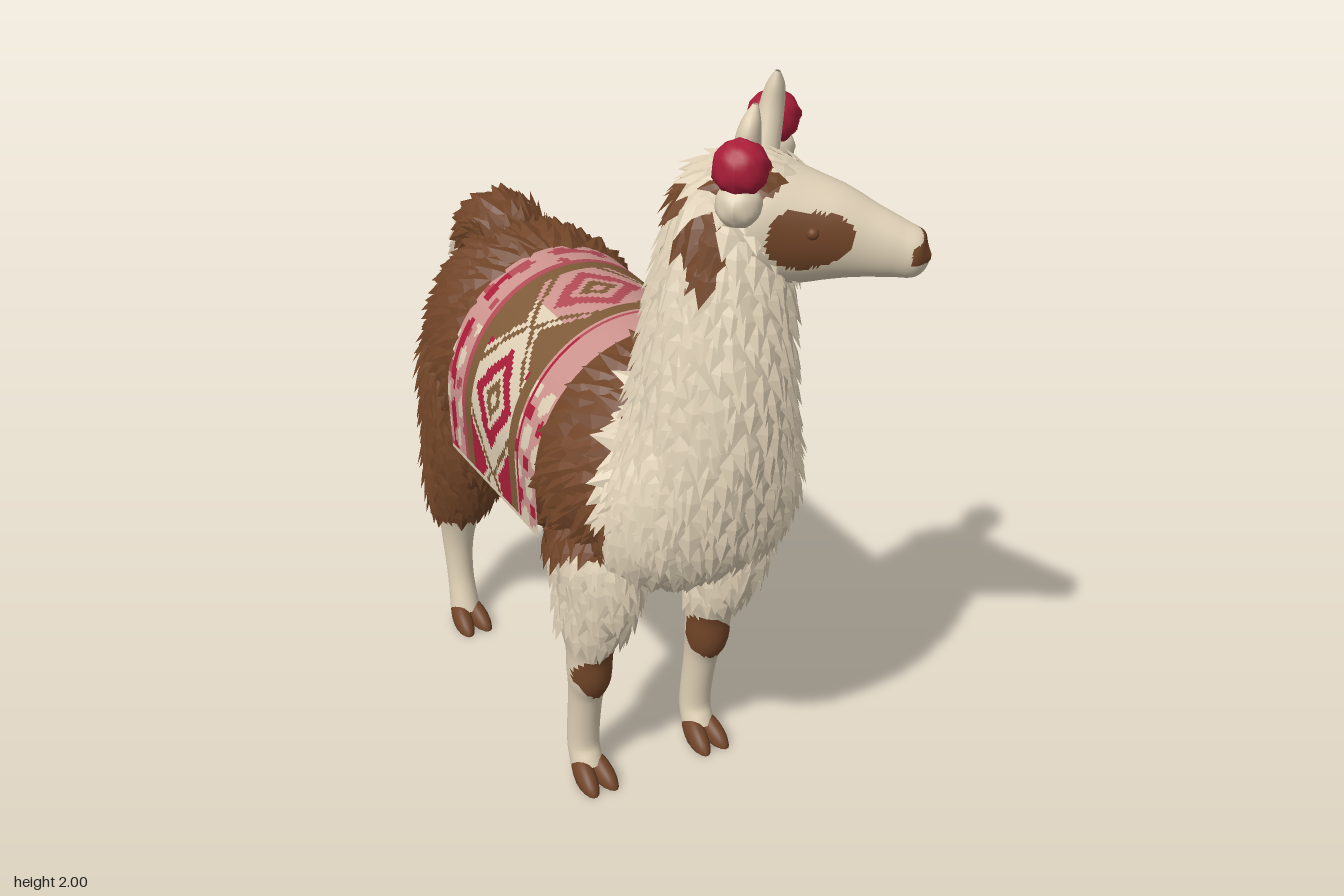
import * as THREE from 'three';

const mat = (name, color) => {
  const m = new THREE.MeshStandardMaterial({ color, side: THREE.DoubleSide });
  m.name = name;
  return m;
};
const CREAM = 0, BROWN = 1, RED = 2, PINK = 3, ROSE = 4, WOOL = 5;
const V = (x, y, z) => new THREE.Vector3(x, y, z);

export function createModel() {
  const mats = [mat('cream', 0xdccdb3), mat('brown', 0x704427), mat('red', 0xa81d38), mat('pink', 0xcb928c),
    mat('rose', 0xb04a54), mat('woolBrown', 0x7d5a38)];
  const model = new THREE.Group();
  model.name = 'llama';
  let seed = 7;
  const rnd = () => (seed = (seed * 16807) % 2147483647) / 2147483647;
  const wobble = (p) => 0.018 * (Math.sin(p.x * 31 + p.y * 43) + Math.sin(p.z * 37 - p.y * 29 + p.x * 17));
  const blob = (p, x, y, z, rx, ry, rz) =>
    ((p.x - x) / rx) ** 2 + ((p.y - y) / ry) ** 2 + ((p.z - z) / rz) ** 2 < 1 + wobble(p) * 9;

  // Coat colour by place: brown saddle and rump, cream neck, belly and front legs
  const coat = (p) => {
    const w = wobble(p) * 0.7, y = p.y + w, z = p.z + w, front = p.x < -0.13 ? 0.48 : 0.405;
    const edge = y > 0.85 ? front - 0.25 * Math.abs(y - 0.92) : front - (0.85 - y) * 1.7;
    if (z < -0.27 && y > 0.37) return BROWN;
    if (y > 0.71 && y < 1.36 && z < edge) return BROWN;
    if (blob(p, p.x < 0 ? -0.18 : 0.145, 0.355, 0.33, 0.08, 0.08, 0.085)) return BROWN;
    if (blob(p, 0.19, 1.69, 0.47, 0.07, 0.085, 0.065) || blob(p, -0.09, 1.67, 0.6, 0.06, 0.075, 0.07) ||
      blob(p, -0.08, 1.73, 0.47, 0.06, 0.06, 0.06) || blob(p, 0.14, 1.74, 0.42, 0.05, 0.06, 0.05)) return BROWN;
    return CREAM;
  };
  const face = (p) => {
    const ax = Math.abs(p.x), q = V(ax, p.y, p.z);
    if (blob(q, 0.115, 0.003, 0.14, 0.095, 0.075, 0.1)) return BROWN;
    if (blob(q, 0.085, 0.125, -0.005, 0.05, 0.05, 0.07) || blob(q, 0.13, 0, -0.06, 0.07, 0.07, 0.04)) return BROWN;
    return p.z > 0.355 && p.y > -0.055 && p.y < -0.005 + wobble(p) ? BROWN : CREAM;
  };

  // Sorts the triangles of an indexed geometry into one group per colour
  function paint(name, pos, idx, colour, parent) {
    const g = new THREE.BufferGeometry(), bins = mats.map(() => []), at = (i) => V(...pos.slice(i * 3, i * 3 + 3));
    for (let i = 0; i < idx.length; i += 3) {
      const mid = at(idx[i]).add(at(idx[i + 1])).add(at(idx[i + 2])).divideScalar(3);
      bins[colour(mid, i)].push(idx[i], idx[i + 1], idx[i + 2]);
    }
    g.setAttribute('position', new THREE.Float32BufferAttribute(pos, 3));
    g.setIndex(bins.flat());
    let start = 0;
    bins.forEach((b, m) => { if (b.length) g.addGroup(start, b.length, m); start += b.length; });
    g.computeVertexNormals();
    const mesh = new THREE.Mesh(g, mats);
    mesh.name = name;
    parent.add(mesh);
  }

  // Smooth skin through rows of [x, y, z, half width, half depth]
  function loft(name, rows, colour, parent, nu = 40, nv = 32) {
    const path = new THREE.CatmullRomCurve3(rows.map((r) => V(r[0], r[1], r[2])), false, 'catmullrom');
    const size = new THREE.CatmullRomCurve3(rows.map((r) => V(r[3], r[4], 0)), false, 'catmullrom');
    const at = (u, a) => {
      const c = path.getPoint(u), s = size.getPoint(u), b = path.getTangent(u).cross(V(1, 0, 0)).normalize();
      c.x += Math.max(s.x, 0.001) * Math.cos(a);
      return c.addScaledVector(b, Math.max(s.y, 0.001) * Math.sin(a));
    };
    const pos = [], idx = [];
    for (let i = 0; i <= nu; i++) for (let j = 0; j < nv; j++) {
      pos.push(...at(i / nu, (j / nv) * Math.PI * 2).toArray());
      const k = (j + 1) % nv, o = i * nv;
      if (i < nu) idx.push(o + j, o + k, o + nv + j, o + k, o + nv + k, o + nv + j);
    }
    paint(name, pos, idx, colour, parent);
    return { at, size, length: path.getLength() };
  }

  // Broad pointed locks of wool laid over a skin, combed along the flow direction
  function fur(name, skin, colour, parent, flow, keep, len = 0.092, step = 0.04) {
    const bins = mats.map(() => []), nu = Math.ceil(skin.length / step);
    for (let i = 0; i < nu; i++) {
      const r = skin.size.getPoint((i + 0.5) / nu), n = Math.ceil((Math.PI * (r.x + r.y)) / step);
      for (let j = 0; j < n; j++) {
        const u = Math.min(0.985, Math.max(0.015, (i + rnd()) / nu)), a = ((j + 0.7 * rnd() + (i % 2) / 2) / n) * Math.PI * 2;
        const p = skin.at(u, a);
        if (!keep(p)) continue;
        const du = skin.at(u + 0.01, a).sub(skin.at(u - 0.01, a));
        const nor = skin.at(u, a + 0.05).sub(skin.at(u, a - 0.05)).cross(du).normalize();
        const d = (flow ? flow.clone() : du.normalize()).add(V(rnd() - 0.5, rnd() - 0.5, rnd() - 0.5).multiplyScalar(0.45));
        d.addScaledVector(nor, -d.dot(nor)).normalize();
        const s = nor.clone().cross(d), L = len * (0.75 + 0.5 * rnd()), w = L * 0.32;
        const pt = (f, k, h) => p.clone().addScaledVector(d, f * L).addScaledVector(s, k * w).addScaledVector(nor, h * L);
        const A = pt(-0.4, 0, -0.02), R = pt(0.05, -1, 0.01), T = pt(0.7, 0, 0.23), Q = pt(0.05, 1, 0.01), M = pt(0.1, 0, 0.14);
        for (const q of [A, R, M, R, T, M, T, Q, M, Q, A, M]) bins[colour(p)].push(q.x, q.y, q.z);
      }
    }
    bins.forEach((b, m) => {
      if (!b.length) return;
      const g = new THREE.BufferGeometry();
      g.setAttribute('position', new THREE.Float32BufferAttribute(b, 3));
      g.computeVertexNormals();
      const mesh = new THREE.Mesh(g, mats[m]);
      mesh.name = name + (m === BROWN ? 'Brown' : 'Cream');
      parent.add(mesh);
    });
  }
  const clear = (p) => !(p.z > -0.31 && p.z < 0.26 && p.y > 0.77); // stays bare under the blanket
  const down = V(0, -1, 0);

  // Body
  const body = loft('body', [[0, 1, -0.69, 0.02, 0.02], [0, 1, -0.655, 0.17, 0.2], [0, 1, -0.56, 0.26, 0.285],
    [0, 0.99, -0.43, 0.305, 0.325], [0, 0.97, -0.25, 0.31, 0.325], [0, 0.95, 0, 0.31, 0.33], [0, 0.955, 0.2, 0.31, 0.325],
    [0, 0.96, 0.35, 0.3, 0.295], [0, 0.93, 0.5, 0.23, 0.21], [0, 0.93, 0.62, 0.01, 0.01]], coat, model, 60, 48);
  fur('bodyFur', body, coat, model, V(0, -0.7, -0.7), clear);

  // Neck and chest
  const neck = loft('neck', [[0, 0.72, 0.4, 0.12, 0.08], [0, 0.8, 0.42, 0.23, 0.14], [0, 0.92, 0.45, 0.265, 0.195],
    [0, 1.06, 0.49, 0.24, 0.2], [0, 1.2, 0.515, 0.195, 0.2], [0, 1.36, 0.53, 0.17, 0.187], [0.01, 1.52, 0.53, 0.155, 0.165],
    [0.03, 1.65, 0.53, 0.145, 0.15], [0.045, 1.76, 0.53, 0.125, 0.125], [0.05, 1.83, 0.54, 0.03, 0.03]], coat, model, 60, 40);
  fur('neckFur', neck, coat, model, down, clear, 0.084, 0.038);

  // Legs: rows of [y, z, half width, half depth], top to ground
  const frontRows = [[0.9, 0.3, 0.08, 0.14], [0.78, 0.3, 0.12, 0.17], [0.65, 0.3, 0.1, 0.15], [0.5, 0.275, 0.08, 0.1],
    [0.42, 0.268, 0.062, 0.072], [0.34, 0.267, 0.058, 0.068], [0.26, 0.25, 0.047, 0.05], [0.1, 0.24, 0.045, 0.043], [0.03, 0.265, 0.045, 0.05]];
  const hindRows = [[1.12, -0.44, 0.08, 0.1], [0.95, -0.46, 0.14, 0.165], [0.75, -0.48, 0.14, 0.165], [0.57, -0.525, 0.12, 0.13],
    [0.43, -0.56, 0.09, 0.092], [0.35, -0.565, 0.06, 0.07], [0.25, -0.56, 0.045, 0.055], [0.14, -0.53, 0.04, 0.043], [0.03, -0.485, 0.045, 0.05]];
  function leg(name, rows, side, hip, foot, shift, furEnd) {
    const g = new THREE.Group();
    g.name = name;
    model.add(g);
    const full = rows.map(([y, z, a, b]) =>
      [side * THREE.MathUtils.lerp(foot, hip, Math.min(1, y / 0.7)), y, z + shift * Math.max(0, 1 - y / 0.7), a, b]);
    const skin = loft(name + 'Skin', full.reverse(), coat, g, 40, 24);
    fur(name + 'Fur', skin, coat, g, down, (p) => clear(p) && p.y > furEnd, 0.085, 0.038);
    // Two-toed foot, flat on the ground
    for (const k of [-1, 1]) {
      const geo = new THREE.SphereGeometry(1, 18, 14).scale(0.029, 0.04, 0.074), p = geo.attributes.position;
      for (let i = 0; i < p.count; i++) p.setY(i, Math.max(0, p.getY(i) + 0.018 - p.getZ(i) * 0.28));
      geo.computeVertexNormals();
      const toe = new THREE.Mesh(geo, mats[BROWN]);
      toe.name = 'toe';
      toe.position.set(side * foot + k * 0.025, 0, full[0][2] + 0.037);
      toe.rotation.y = k * 0.1;
      g.add(toe);
    }
  }
  leg('frontLegRight', frontRows, -1, 0.19, 0.205, 0, 0.49);
  leg('frontLegLeft', frontRows, 1, 0.19, 0.15, 0, 0.49);
  leg('hindLegRight', hindRows, -1, 0.175, 0.2, -0.075, 0.4);
  leg('hindLegLeft', hindRows, 1, 0.18, 0.23, 0, 0.4);

  // Tail, curled over with a pale tip
  const tailColour = (p) => (p.z + wobble(p) * 0.6 < -0.71 && p.y < 1.27 ? CREAM : BROWN);
  const tail = loft('tail', [[0, 1.18, -0.46, 0.08, 0.06], [0, 1.275, -0.56, 0.09, 0.07], [0, 1.25, -0.67, 0.1, 0.085],
    [0, 1.15, -0.745, 0.09, 0.075], [0, 1.05, -0.77, 0.055, 0.05], [0, 0.98, -0.77, 0.002, 0.002]], tailColour, model, 30, 24);
  fur('tailFur', tail, tailColour, model, null, () => true, 0.075, 0.033);

  // Woven blanket: stripes at both ends, diamonds and crosses between
  const NZ = 56, NS = 120, half = 0.7, quarter = 0.53;
  const cloth = (i, j) => {
    const z = -0.31 + (0.53 * i) / NZ, s = half * ((2 * j) / NS - 1), a = Math.abs(s), f = Math.min(1, a / quarter) * Math.PI / 2;
    const drop = Math.max(0, a - quarter);
    return [Math.sign(s) * (Math.sin(f) * 0.322 - drop * 0.04), 0.945 + (0.35 - z * 0.04) * Math.cos(f) - drop, z];
  };
  const weave = (_, n) => {
    const q = Math.floor(n / 6), z = -0.31 + (0.53 * (Math.floor(q / NS) + 0.5)) / NZ, s = half * ((2 * ((q % NS) + 0.5)) / NS - 1);
    const a = Math.abs(s), top = a < 0.15, patch = Math.sin(s * 53 + z * 20) + Math.sin(s * 29 - z * 90);
    const pale = top ? PINK : CREAM, strong = top ? ROSE : RED;
    if (a > half - 0.012) return CREAM;
    if (z > 0.11) { // front stripes, plain over the spine
      if (Math.abs(z - 0.12) < 0.006) return strong;
      return a < 0.3 ? PINK : patch > 1.2 ? RED : patch < -0.4 ? CREAM : PINK;
    }
    if (z < -0.195) { // rear stripes
      if (Math.abs(z + 0.278) < 0.014) return patch > -0.5 ? strong : PINK;
      return Math.abs(z + 0.205) < 0.006 || patch > 1.4 ? ROSE : a > 0.3 && patch < -0.7 ? CREAM : PINK;
    }
    if (z > 0.07 || z < -0.155) return WOOL;
    const t = Math.abs(s - 0.43 * Math.round(s / 0.43)), d = Math.abs(z + 0.042) / 0.112 + t / 0.16;
    if (d > 1.62) return a > 0.3 ? RED : WOOL;
    return d < 0.16 ? pale : d < 0.36 ? WOOL : d < 0.56 ? pale : d < 0.9 ? strong : d < 1.34 ? pale : d < 1.48 ? WOOL : pale;
  };
  const pos = [], idx = [];
  for (let i = 0; i <= NZ; i++) for (let j = 0; j <= NS; j++) {
    pos.push(...cloth(i, j));
    const o = i * (NS + 1) + j, e = o + NS + 1;
    if (i < NZ && j < NS) idx.push(o, e, o + 1, o + 1, e, e + 1);
  }
  paint('blanket', pos, idx, weave, model);

  // Head, turned to its left
  const head = new THREE.Group();
  head.name = 'head';
  head.position.set(0.058, 1.7, 0.575);
  head.rotation.y = Math.PI / 4;
  model.add(head);
  const skull = loft('skull', [[0, 0.03, -0.13, 0.01, 0.01], [0, 0.03, -0.09, 0.1, 0.1], [0, 0.01, 0, 0.128, 0.138],
    [0, -0.005, 0.08, 0.115, 0.135], [0, -0.012, 0.17, 0.088, 0.113], [0, -0.024, 0.25, 0.064, 0.086], [0, -0.036, 0.32, 0.05, 0.066],
    [0, -0.045, 0.367, 0.04, 0.05], [0, -0.046, 0.39, 0.004, 0.006]], face, head, 80, 56);
  fur('headFur', skull, face, head, V(0, -0.3, -1), (p) => p.z < -0.02 || (p.y > 0.1 && p.z < 0.08), 0.06, 0.032);

  const ball = (name, r, m, x, y, z, bump = 0) => {
    const geo = new THREE.SphereGeometry(r, 24, 18), p = geo.attributes.position, v = V(0, 0, 0);
    for (let i = 0; i < p.count; i++) {
      v.fromBufferAttribute(p, i);
      v.multiplyScalar(1 + bump * Math.sin(v.x * 110) * Math.sin(v.y * 110 + 1) * Math.cos(v.z * 110));
      p.setXYZ(i, v.x, v.y, v.z);
    }
    geo.computeVertexNormals();
    const mesh = new THREE.Mesh(geo, mats[m]);
    mesh.name = name;
    mesh.position.set(x, y, z);
    head.add(mesh);
  };
  // Eyes, ears and ear pompoms on both sides
  for (const k of [-1, 1]) {
    ball('eye', 0.014, BROWN, k * 0.092, 0.015, 0.145);
    loft('ear', [[k * 0.075, 0.08, 0, 0.03, 0.03], [k * 0.105, 0.15, 0, 0.038, 0.032], [k * 0.13, 0.22, 0.004, 0.038, 0.028],
      [k * 0.13, 0.265, 0.01, 0.029, 0.02], [k * 0.118, 0.298, 0.015, 0.006, 0.006]], () => CREAM, head, 20, 16);
    ball('redPompom', 0.06, RED, k * 0.172, 0.178, 0, 0.08);
    ball('creamPompom', 0.05, CREAM, k * 0.182, 0.1, 0, 0.06);
  }
  return model;
}
